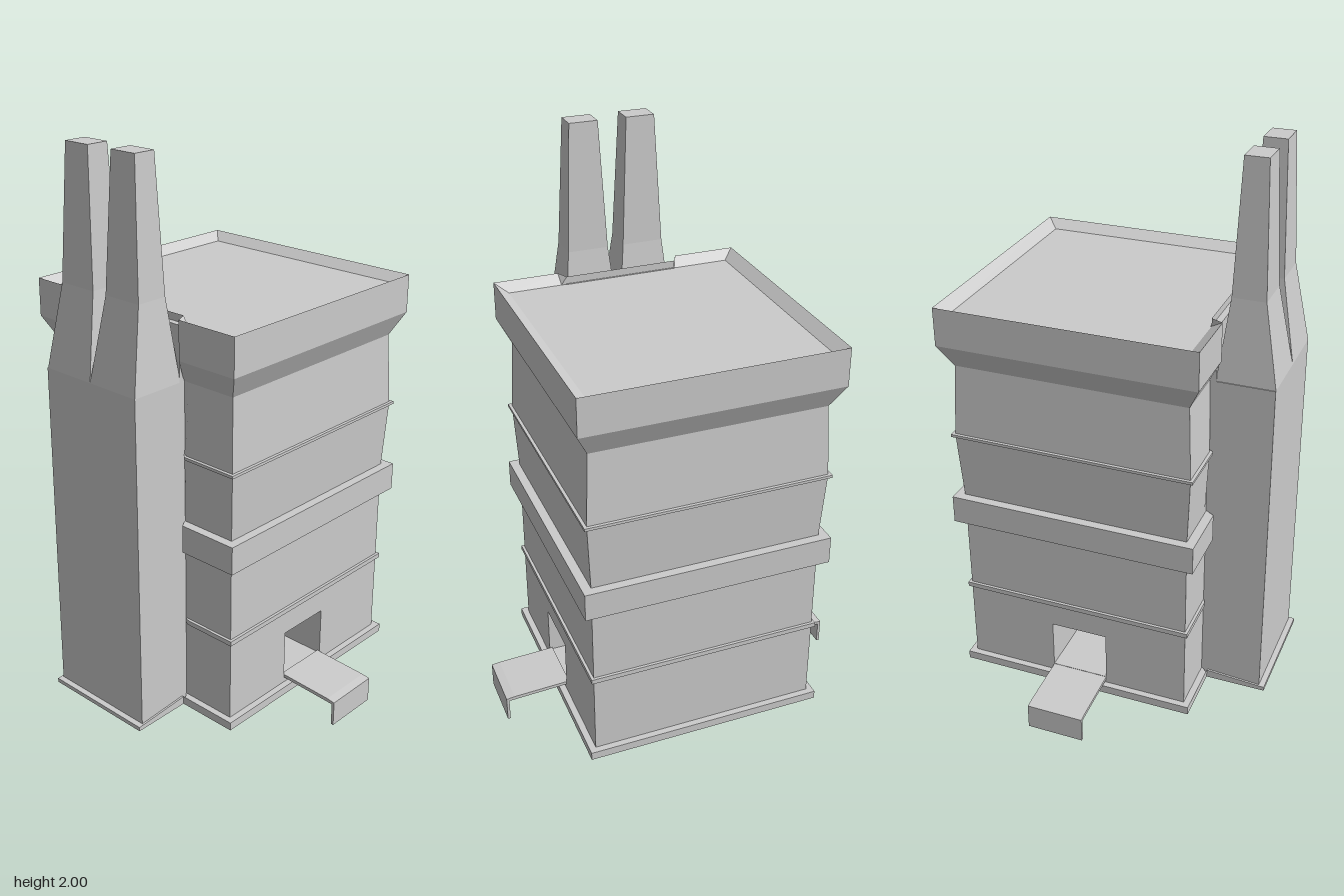
import * as THREE from 'three';

const CX = 0.097, CZ = -0.008, HALF = 0.408;

const mat = new THREE.MeshStandardMaterial({ color: 0xcccccc, flatShading: true, side: THREE.DoubleSide });

function add(parent, name, geometry) {
  const mesh = new THREE.Mesh(geometry, mat);
  mesh.name = name;
  parent.add(mesh);
  return mesh;
}

// Joins rings of [x, y, z] points with quads; edges listed in skip stay open.
function loft(rings, skip = []) {
  const out = [];
  for (let r = 0; r + 1 < rings.length; r++) {
    const lo = rings[r], hi = rings[r + 1], n = lo.length;
    for (let i = 0; i < n; i++) {
      if (skip.includes(i)) continue;
      const j = (i + 1) % n;
      out.push(...lo[i], ...lo[j], ...hi[j], ...lo[i], ...hi[j], ...hi[i]);
    }
  }
  return soup(out);
}

function soup(points) {
  const g = new THREE.BufferGeometry();
  g.setAttribute('position', new THREE.Float32BufferAttribute(points, 3));
  g.computeVertexNormals();
  return g;
}

// Flat horizontal face over a ring.
function cap(ring) {
  const shape = new THREE.Shape(ring.map(([x, , z]) => new THREE.Vector2(x, -z)));
  return new THREE.ShapeGeometry(shape).rotateX(-Math.PI / 2).translate(0, ring[0][1], 0);
}

// Square outline of the tower with a notch on one side for the chimney.
function outline(h, y) {
  const x0 = CX - h, x1 = CX + h, z0 = CZ - h, z1 = CZ + h;
  const notch = Math.max(x0, -0.311);
  return [[x1, y, z1], [x1, y, z0], [x0, y, z0], [x0, y, -0.235],
    [notch, y, -0.215], [notch, y, 0.19], [x0, y, 0.21], [x0, y, z1]];
}

function rect(x0, x1, z0, z1, y) {
  return [[x1, y, z1], [x1, y, z0], [x0, y, z0], [x0, y, z1]];
}

function box(parent, name, x0, x1, y0, y1, z0, z1) {
  return add(parent, name, new THREE.BoxGeometry(x1 - x0, y1 - y0, z1 - z0)
    .translate((x0 + x1) / 2, (y0 + y1) / 2, (z0 + z1) / 2));
}

// Wall with a wedge-shaped opening and a chute, built facing +z.
function chuteWall(name, dx, tipY) {
  const g = new THREE.Group();
  g.name = name;
  const a = dx - 0.102, b = dx + 0.102, y0 = 0.105, y1 = 0.285, zi = 0.2;

  const wall = new THREE.Shape([[-HALF, 0.07], [HALF, 0.07], [HALF, 0.38], [-HALF, 0.38]]
    .map(p => new THREE.Vector2(...p)));
  wall.holes.push(new THREE.Path([[a, y0], [a, y1], [b, y1], [b, y0]]
    .map(p => new THREE.Vector2(...p))));
  add(g, 'openingWall', new THREE.ShapeGeometry(wall).translate(0, 0, HALF));

  // sloped ceiling, cheeks and floor of the opening
  const A = [a, y1, HALF], B = [b, y1, HALF], C = [b, y0, zi], D = [a, y0, zi];
  const E = [a, y0, HALF], F = [b, y0, HALF];
  add(g, 'opening', soup([A, D, C, A, C, B, A, E, D, B, C, F, E, F, C, E, C, D].flat()));

  // side profile of the chute: gently sloped tray with a lip hanging down
  const tip = 0.635, t = 0.01, drop = 0.088 + tipY;
  const profile = new THREE.Shape([[HALF - 0.01, 0.092 + tipY], [tip - t, drop - 0.006],
    [tip - t, tipY], [tip, tipY], [tip, drop + 0.004], [tip - 0.03, drop + 0.008],
    [HALF - 0.01, 0.094 + tipY + t]].map(p => new THREE.Vector2(...p)));
  const chute = new THREE.ExtrudeGeometry(profile, { depth: b - a, bevelEnabled: false });
  add(g, 'chute', chute.rotateY(-Math.PI / 2).translate(b, 0, 0));
  g.position.set(CX, 0, CZ);
  return g;
}

export function createModel() {
  const model = new THREE.Group();
  model.name = 'furnaceTower';

  // plinth, with a tongue under the chimney
  const h = 0.431;
  const plinth = y => [[CX + h, y, CZ + h], [CX + h, y, CZ - h], [CX - h, y, CZ - h],
    [CX - h, y, -0.225], [-0.55, y > 0.06 ? 0.065 : y, -0.225],
    [-0.55, y > 0.06 ? 0.065 : y, 0.2], [CX - h, y, 0.2], [CX - h, y, CZ + h]];
  add(model, 'plinthSides', loft([plinth(0.05), plinth(0.08)]));
  add(model, 'plinthBottom', cap(plinth(0.05)));
  add(model, 'plinthTop', cap(outline(h, 0.08)));
  const p = plinth(0.08);
  add(model, 'plinthTongueTop', soup([p[3], p[4], p[5], p[3], p[5], p[6]].flat()));

  // lower storey: the front and back come from the chute walls
  add(model, 'lowerWalls', loft([outline(HALF, 0.07), outline(HALF, 0.38)], [1, 7]));
  const front = chuteWall('frontChute', -0.018, 0.008);
  const back = chuteWall('backChute', 0.01, 0);
  back.rotation.y = Math.PI;
  model.add(front, back);

  // upper walls, bands, flared crown and sunken roof as [half width, height]
  const levels = [[HALF, 0.375], [0.418, 0.375], [0.418, 0.392], [HALF, 0.392],
    [HALF, 0.665], [0.44, 0.665], [0.44, 0.765], [HALF, 0.765],
    [0.42, 1.002], [0.431, 1.002], [0.431, 1.012], [0.42, 1.012],
    [HALF, 1.265], [0.45, 1.348], [0.45, 1.483], [HALF, 1.455]];
  add(model, 'upperWalls', loft(levels.map(([w, y]) => outline(w, y))));
  add(model, 'roof', cap(outline(HALF, 1.455)));

  // chimney base with two tapering stacks
  box(model, 'chimneyBase', -0.53, -0.308, 0.06, 1.265, -0.218, 0.193);
  box(model, 'chimneyBacking', -0.333, -0.308, 1.26, 1.457, -0.218, 0.193);
  for (const [name, zc] of [['backStack', -0.113], ['frontStack', 0.091]]) {
    const rings = [
      rect(-0.53, -0.33, zc - 0.102, zc + 0.102, 1.265),
      rect(-0.478, -0.364, zc - 0.073, zc + 0.073, 1.55),
      rect(-0.46, -0.38, zc - 0.051, zc + 0.051, 2)];
    add(model, name, loft(rings));
    add(model, name + 'Top', cap(rings[2]));
  }
  return model;
}
